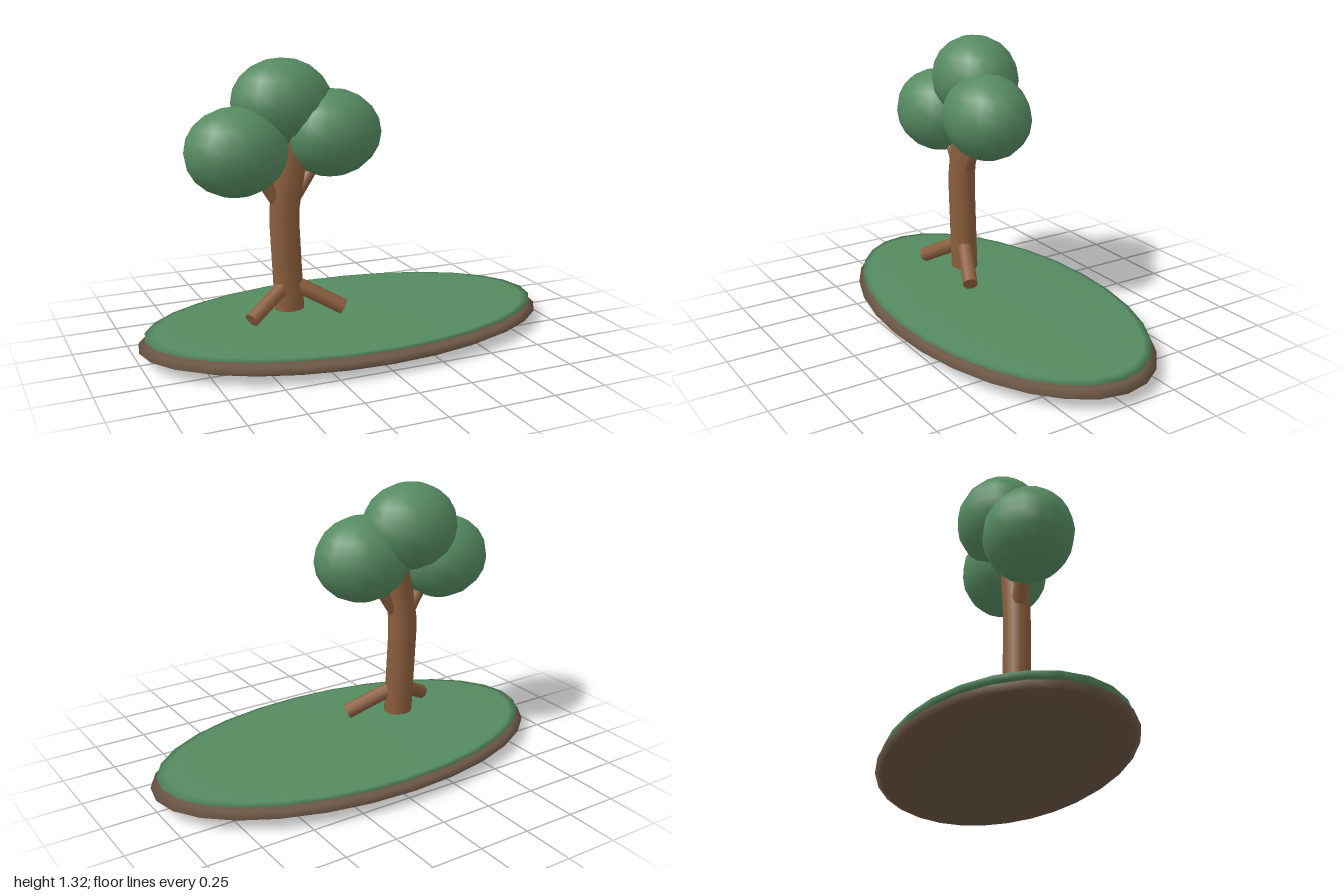
import * as THREE from 'three';

const leafGreen = new THREE.MeshStandardMaterial({ color: 0x558a60 });
const barkBrown = new THREE.MeshStandardMaterial({ color: 0x8b5e3c });
const soilBrown = new THREE.MeshStandardMaterial({ color: 0x6b5644 });

function add(parent, name, geometry, material) {
  const mesh = new THREE.Mesh(geometry, material);
  mesh.name = name;
  parent.add(mesh);
  return mesh;
}

// Stretched sphere given by its centre and three radii
function ellipsoid(parent, name, centre, radii, sides, rows, material) {
  const mesh = add(parent, name, new THREE.SphereGeometry(1, sides, rows), material);
  mesh.position.set(...centre);
  mesh.scale.set(...radii);
}

// Straight limb between two points
function limb(parent, name, from, to, r0, r1) {
  const a = new THREE.Vector3(...from);
  const b = new THREE.Vector3(...to);
  const mesh = add(parent, name, new THREE.CylinderGeometry(r1, r0, a.distanceTo(b), 8), barkBrown);
  mesh.position.copy(a).add(b).multiplyScalar(0.5);
  mesh.quaternion.setFromUnitVectors(new THREE.Vector3(0, 1, 0), b.sub(a).normalize());
}

// Sideways position of the trunk's centre line at a given height
function trunkX(y) {
  return -0.29 - 0.048 * (Math.min(y, 0.65) - 0.17) + 0.17 * Math.max(0, y - 0.62);
}

export function createModel() {
  const model = new THREE.Group();
  model.name = 'treeOnIsland';

  // Flat oval ground: soil below, grass on top
  ellipsoid(model, 'soil', [0, 0.057, 0], [1, 0.057, 0.545], 28, 10, soilBrown);
  ellipsoid(model, 'grass', [0, 0.105, 0], [0.97, 0.018, 0.525], 28, 10, leafGreen);

  const tree = new THREE.Group();
  tree.name = 'tree';
  model.add(tree);

  // Bent trunk
  const trunk = new THREE.CylinderGeometry(0.062, 0.062, 0.8, 12, 10);
  trunk.scale(1.14, 1, 1);
  trunk.translate(0, 0.57, 0);
  const p = trunk.attributes.position;
  for (let i = 0; i < p.count; i++) p.setX(i, p.getX(i) + trunkX(p.getY(i)));
  add(tree, 'trunk', trunk, barkBrown);

  // Roots and branches on both sides
  for (const [side, s] of [['left', 1], ['right', -1]]) {
    limb(tree, side + 'Root', [-0.29 + s * 0.03, 0.285, 0.015], [-0.285 + s * 0.225, 0.175, 0.105], 0.036, 0.036);
    limb(tree, side + 'Branch', [-0.305 + s * 0.03, 0.67, 0], [-0.3 + s * 0.18, 0.9, 0], 0.032, 0.028);
  }

  // Leaf clumps
  const clumps = [
    ['topLeaves', [-0.29, 1.12, -0.068]],
    ['leftLeaves', [-0.077, 0.98, 0]],
    ['rightLeaves', [-0.53, 0.924, 0]],
  ];
  for (const [name, centre] of clumps) {
    ellipsoid(tree, name, centre, [0.235, 0.201, 0.198], 16, 10, leafGreen);
  }
  return model;
}
